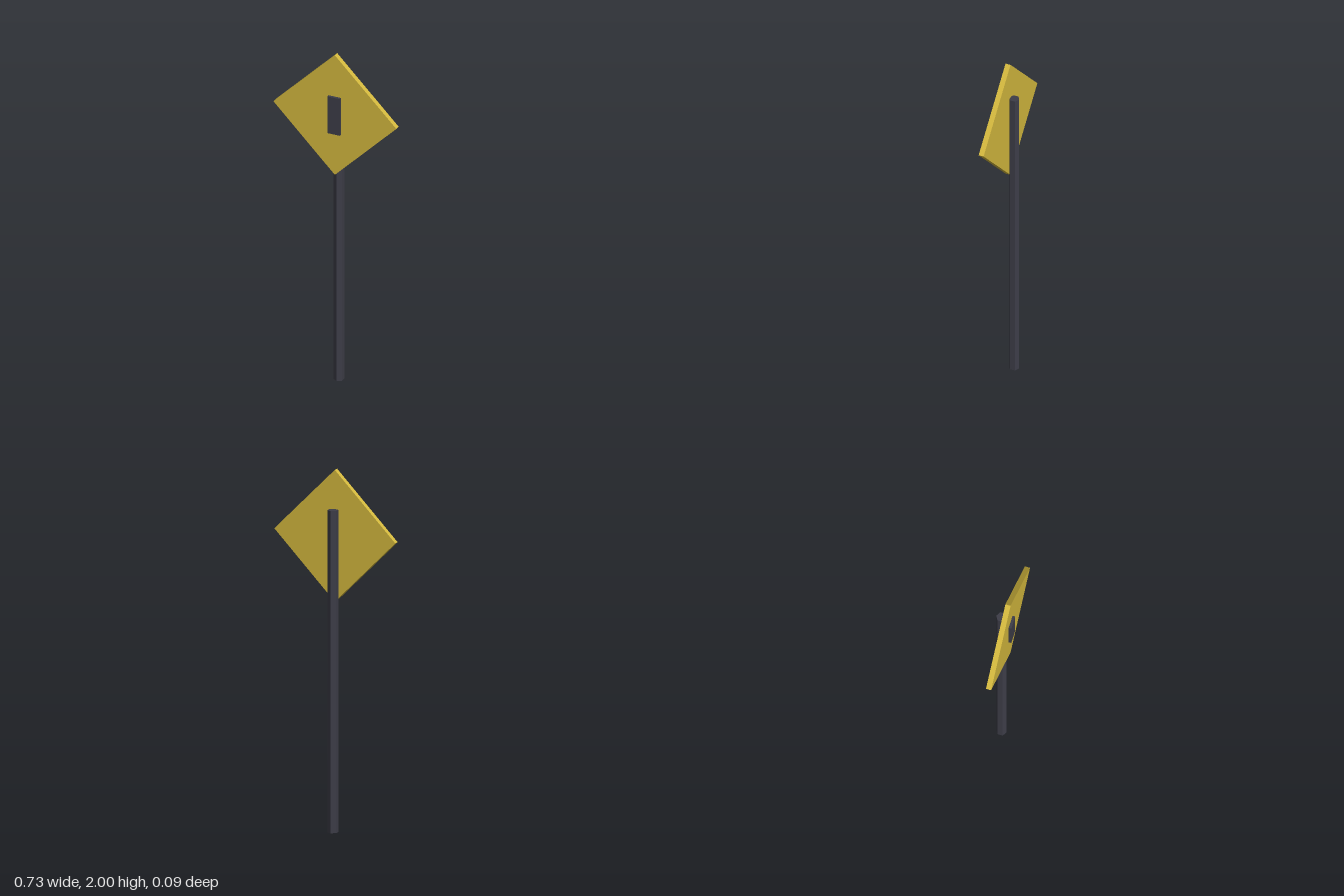
import * as THREE from 'three';

export function createModel() {
  const model = new THREE.Group();
  const yellow = new THREE.MeshStandardMaterial({ name: 'signYellow', color: 0xd4b93e, flatShading: true });
  const dark = new THREE.MeshStandardMaterial({ name: 'darkMetal', color: 0x3d3d48, flatShading: true });

  const add = (name, geometry, material, x, y, z) => {
    const mesh = new THREE.Mesh(geometry, material);
    mesh.name = name;
    mesh.position.set(x, y, z);
    model.add(mesh);
    return mesh;
  };

  // Hexagonal post, with one corner facing the board
  const postHeight = 1.783;
  add('post', new THREE.CylinderGeometry(0.029, 0.029, postHeight, 6), dark, 0, postHeight / 2, -0.02);

  // Square board turned onto its corner
  const halfDiagonal = 0.365;
  const side = halfDiagonal * Math.SQRT2;
  const board = add('signBoard', new THREE.BoxGeometry(side, side, 0.029), yellow, 0, 2 - halfDiagonal, 0.0165);
  board.rotation.z = Math.PI / 4;

  // Upright bar on the face of the board
  add('signBar', new THREE.BoxGeometry(0.073, 0.224, 0.03), dark, 0, 1.636, 0.031);

  return model;
}
